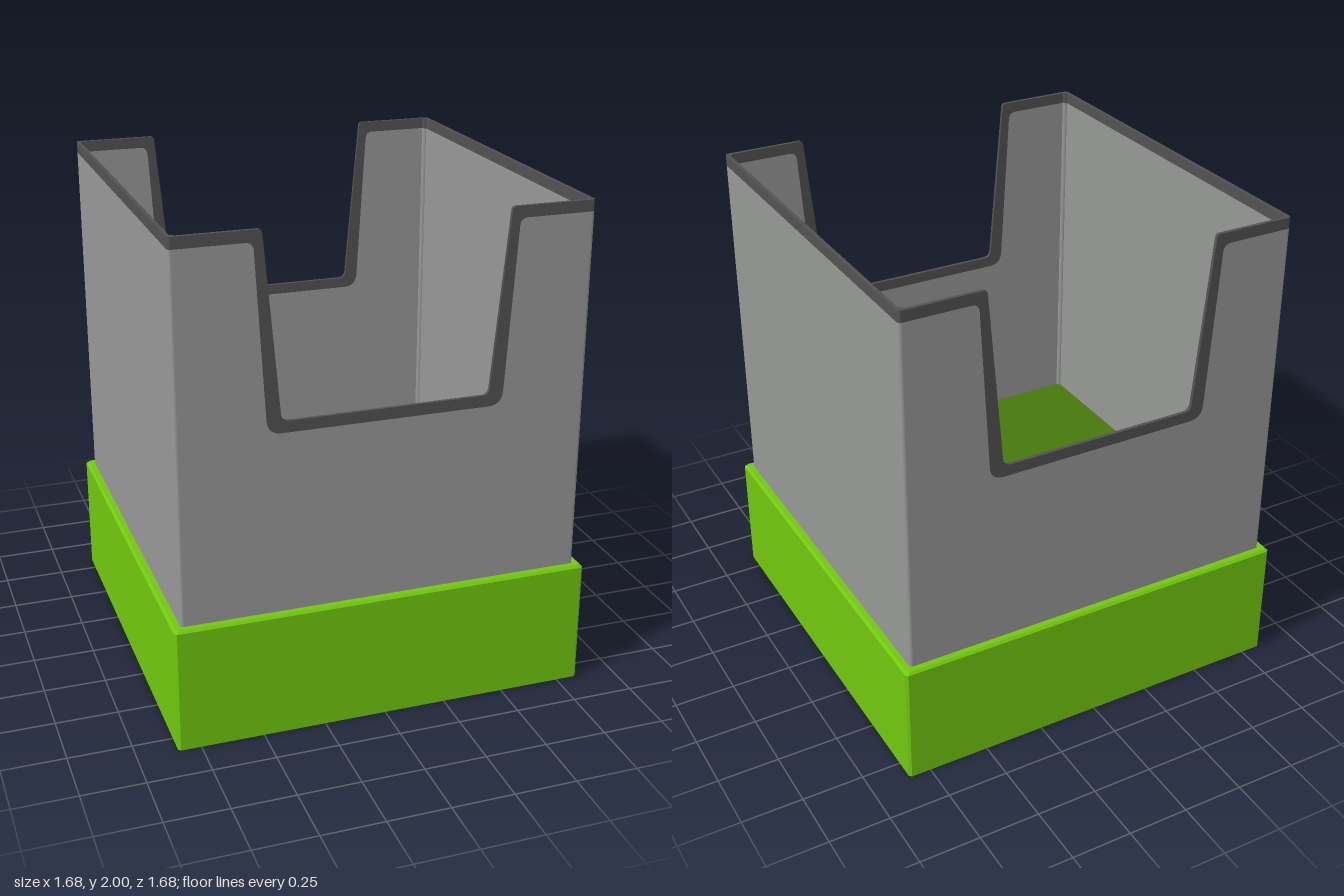
import * as THREE from 'three';

const W = 0.807, T = 0.014;          // half width and thickness of the walls
const BOTTOM = 0.39, BAND = 1.955, TOP = 2;

const mat = (name, color, side = THREE.FrontSide) => {
  const m = new THREE.MeshStandardMaterial({ color, side });
  m.name = name;
  return m;
};

// Notch outline from +x to -x, with rounded corners
function notchPoints(topX, topY, botX, botY, rTop, rBot) {
  const slope = (topX - botX) / (topY - botY);
  const p = new THREE.Path();
  p.moveTo(topX + rTop, topY);
  p.quadraticCurveTo(topX, topY, topX - slope * rTop, topY - rTop);
  p.lineTo(botX + slope * rBot, botY + rBot);
  p.quadraticCurveTo(botX, botY, botX - rBot, botY);
  const half = p.getPoints(6);
  return [...half, ...half.map(v => new THREE.Vector2(-v.x, v.y)).reverse()];
}

// Square loops with cut corners, joined into one flat-shaded skin
function squareLoft(loops, cut) {
  const pos = [], index = [];
  for (const [h, y] of loops) {
    const c = h - cut;
    for (const [x, z] of [[h, -c], [h, c], [c, h], [-c, h], [-h, c], [-h, -c], [-c, -h], [c, -h]]) pos.push(x, y, z);
  }
  for (let l = 0; l < loops.length - 1; l++) {
    for (let i = 0; i < 8; i++) {
      const a = l * 8 + i, b = l * 8 + (i + 1) % 8;
      index.push(a, a + 8, b, b, a + 8, b + 8);
    }
  }
  const g = new THREE.BufferGeometry();
  g.setAttribute('position', new THREE.Float32BufferAttribute(pos, 3));
  g.setIndex(index);
  const flat = g.toNonIndexed();
  flat.computeVertexNormals();
  return flat;
}

export function createModel() {
  const group = new THREE.Group();
  group.name = 'notchedBox';
  const grey = mat('wallGrey', 0x979997);
  const dark = mat('trimGrey', 0x525252);
  const lime = mat('limeGreen', 0x72c90f, THREE.DoubleSide);
  const deep = mat('floorGreen', 0x487a0d);

  const add = (name, geometry, material, x = 0, y = 0, z = 0) => {
    const m = new THREE.Mesh(geometry, material);
    m.name = name;
    m.position.set(x, y, z);
    group.add(m);
    return m;
  };

  // Front and back walls: notched panel plus an edging that follows the notch
  const edge = W - T;
  const outer = notchPoints(0.505, BAND, 0.462, 1.235, 0.03, 0.055);
  const inner = notchPoints(0.473, TOP, 0.408, 1.28, 0.015, 0.03);
  const v = (x, y) => new THREE.Vector2(x, y);
  const panel = new THREE.Shape([v(-edge, BOTTOM), v(edge, BOTTOM), v(edge, BAND), ...outer, v(-edge, BAND)]);
  const trim = new THREE.Shape([v(edge, BAND), v(edge, TOP), ...inner, v(-edge, TOP), v(-edge, BAND), ...[...outer].reverse()]);
  const opts = { depth: T, bevelEnabled: false };
  const panelGeo = new THREE.ExtrudeGeometry(panel, opts);
  const trimGeo = new THREE.ExtrudeGeometry(trim, opts);
  for (const [name, z] of [['front', edge], ['back', -W]]) {
    add(name + 'Wall', panelGeo, grey, 0, 0, z);
    add(name + 'Trim', trimGeo, dark, 0, 0, z);
  }

  // Side walls and rounded corner posts, each with a top edging
  const levels = [['Wall', BOTTOM, BAND, grey], ['Trim', BAND, TOP, dark]];
  for (const s of [1, -1]) {
    const side = s > 0 ? 'left' : 'right';
    for (const [part, y0, y1, m] of levels) {
      const h = y1 - y0, y = (y0 + y1) / 2;
      add(side + part, new THREE.BoxGeometry(T, h, 2 * edge), m, s * (W - T / 2), y, 0);
      for (const t of [1, -1]) {
        add(side + (t > 0 ? 'Front' : 'Back') + 'Corner' + part,
          new THREE.CylinderGeometry(T, T, h, 16), m, s * edge, y, t * edge);
      }
    }
  }

  // Inner floor
  add('floor', new THREE.BoxGeometry(2 * edge, 0.008, 2 * edge), deep, 0, 0.508, 0);

  // Hollow base skirt with a bevelled top rim
  add('baseSkirt', squareLoft([[0.84, 0], [0.84, 0.5], [0.83, 0.51], [0.803, 0.51]], 0.01), lime);

  return group;
}
